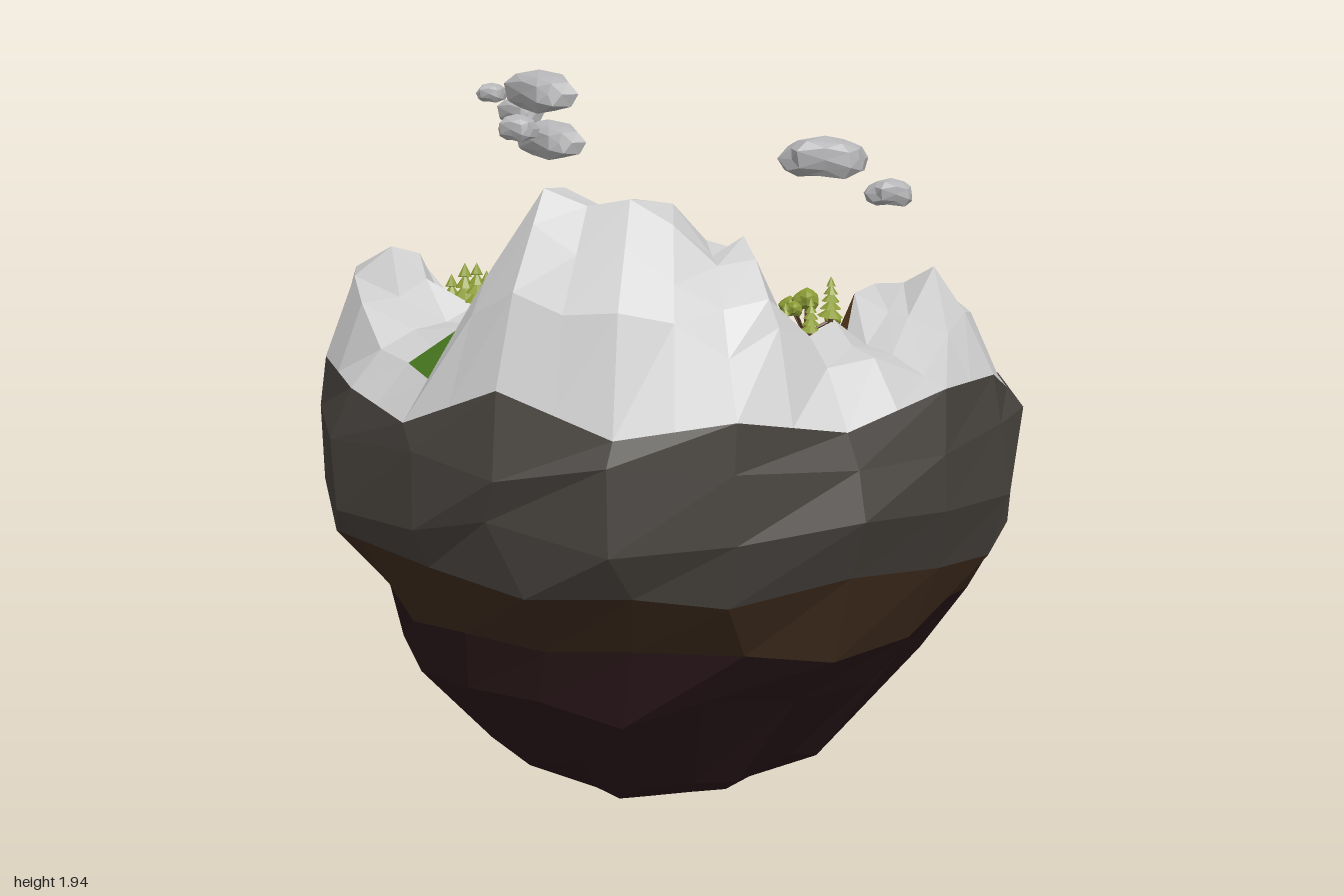
import * as THREE from 'three';

const SIDES = 40, RINGS = 11;
const mat = (color, side = THREE.FrontSide) => new THREE.MeshStandardMaterial({ color, side, flatShading: true });
const rockMat = mat(0x47423d), earthMat = mat(0x412d1f), coreMat = mat(0x2b181a), soilMat = mat(0x63401f);
const grassMat = mat(0x4a7a20), stoneMat = mat(0xcccccc), cloudMat = mat(0xb4b4b6);
const leafMat = mat(0x8c9c35), trunkMat = mat(0x5a3f28), waterMat = mat(0x76d8c5, THREE.DoubleSide);

const rnd = (i, j) => { const s = Math.sin(i * 127.1 + j * 311.7) * 43758.5453; return s - Math.floor(s) - 0.5; };
const clamp = THREE.MathUtils.clamp, mix = THREE.MathUtils.lerp;

// River banks from source to outlet: x and z of each bank
const banks = [[0.35, 0.4, 0.36, 0.36], [0.28, 0.36, 0.34, 0.22], [0.18, 0.3, 0.25, 0.13], [0, 0.29, 0.1, 0.13], [-0.2, 0.3, -0.1, 0.14],
  [-0.33, 0.27, -0.22, 0.1], [-0.48, 0.25, -0.23, 0.03], [-0.48, 0.02, -0.24, -0.1], [-0.38, -0.15, -0.18, -0.22],
  [-0.3, -0.34, -0.05, -0.33], [-0.13, -0.41, 0.03, -0.43], [-0.06, -0.53, 0.08, -0.5], [0, -0.65, 0.14, -0.63],
  [0.01, -0.77, 0.23, -0.74], [-0.02, -0.84, 0.27, -0.85]];
// Plan outlines, as [x, z]
const river = [...banks.map(b => [b[0], b[1]]), ...banks.map(b => [b[2], b[3]]).reverse()];
const pond = [[0.38, -0.42], [0.42, -0.42], [0.5, -0.2], [0.48, -0.15], [0.41, -0.16]];
const soil = [[-0.23, -0.1], [-0.05, -0.33], [0.08, -0.5], [0.2, -0.76], [0.3, -0.8], [0.45, -0.6], [0.6, -0.5], [0.65, -0.25],
  [0.6, -0.05], [0.5, 0.2], [0.55, 0.5], [0.36, 0.52], [0.36, 0.25], [0.2, 0.15], [-0.2, 0.13]];
const meadows = [
  [[0.25, -0.6], [0.27, -0.84], [0.62, -0.64], [0.4, -0.5], [0.25, -0.45], [0.36, -0.3], [0.4, -0.08], [0.52, 0.06], [0.3, 0.08],
    [0.1, 0], [-0.1, 0.02], [0, -0.25], [0.15, -0.4]],
  [[-0.57, -0.48], [-0.3, -0.52], [-0.3, -0.38], [-0.4, -0.25], [-0.66, -0.24]],
  [[-0.62, 0.62], [-0.48, 0.52], [-0.48, 0.7]]];

function inside(x, z, poly) {
  let hit = false;
  poly.forEach(([ax, az], i) => {
    const [bx, bz] = poly[(i + 1) % poly.length];
    if ((az > z) !== (bz > z) && x < ax + (bx - ax) * (z - az) / (bz - az)) hit = !hit;
  });
  return hit;
}

function distance(x, z, poly) {
  if (inside(x, z, poly)) return 0;
  return Math.min(...poly.map(([ax, az], i) => {
    const [bx, bz] = poly[(i + 1) % poly.length], dx = bx - ax, dz = bz - az;
    const t = clamp(((x - ax) * dx + (z - az) * dz) / (dx * dx + dz * dz), 0, 1);
    return Math.hypot(x - ax - dx * t, z - az - dz * t);
  }));
}

// Peaks: x, z, top, then reach inward, sideways and outward
const peaks = [[-0.17, 0.69, 1.69, 0.7, 0.32, 0.29], [-0.05, 0.69, 1.69, 0.7, 0.3, 0.3], [0.1, 0.65, 1.65, 0.5, 0.25, 0.31],
  [0.25, 0.58, 1.57, 0.3, 0.15, 0.37], [0.02, 0.42, 1.56, 0.15, 0.3, 0.5],
  [-0.72, 0.24, 1.5, 0.28, 0.36, 0.25], [-0.6, 0.3, 1.48, 0.2, 0.25, 0.3], [-0.46, 0.44, 1.36, 0.2, 0.28, 0.4],
  [0.68, 0.27, 1.47, 0.25, 0.32, 0.27], [0.56, 0.28, 1.44, 0.18, 0.25, 0.3], [0.45, 0.56, 1.36, 0.2, 0.27, 0.32]];

// Gentle base slope, falling to the back and, behind the peaks, to one side
const ground = (x, z) => 1.175 + 0.03 * z - 0.2 * Math.max(0, -z - 0.3) - 0.05 * x * clamp((0.3 - z) / 0.4, 0, 1);
const waterLevel = (x, z) => ground(x, z) - 0.02 - 0.5 * Math.max(0, -z - 0.68);

// Sinks a height to the water bed near the river and the pond
function carve(x, y, z) {
  const d = Math.min(distance(x, z, river), distance(x, z, pond));
  return mix(waterLevel(x, z) - 0.03, y, clamp((d - 0.055) / 0.035, 0, 1));
}

function height(x, z) {
  const base = ground(x, z);
  let y = base;
  for (const [px, pz, top, rin, side, out] of peaks) {
    const l = Math.hypot(px, pz), dx = x - px, dz = z - pz;
    const u = (dx * px + dz * pz) / l, v = (dx * pz - dz * px) / l;
    y = Math.max(y, base + (top - base) * clamp(1.12 - Math.hypot(u / (u > 0 ? out : rin), v / side), 0, 1.04));
  }
  return carve(x, y, z);
}

function add(group, name, geometry, material) {
  const mesh = new THREE.Mesh(geometry, material);
  mesh.name = name;
  group.add(mesh);
  return mesh;
}

// Collects triangles by material and turns each set into one mesh
function faceSet() {
  const sets = new Map();
  const tri = (m, a, b, c) => {
    const area = new THREE.Vector3().subVectors(b, a).cross(new THREE.Vector3().subVectors(c, a)).length();
    if (area < 1e-7) return;
    if (!sets.has(m)) sets.set(m, []);
    for (const p of [a, b, c]) sets.get(m).push(p.x, p.y, p.z);
  };
  const quad = (m, a, b, c, d) => { tri(m, a, b, c); tri(m, a, c, d); };
  const build = (group, names) => sets.forEach((list, m) => {
    const g = new THREE.BufferGeometry();
    g.setAttribute('position', new THREE.Float32BufferAttribute(list, 3));
    g.computeVertexNormals();
    add(group, names.get(m), g, m);
  });
  return { quad, build };
}

// Rim shared by the terrain and the underside; odd points lie midway between even ones
function rim(i) {
  if (i % 2) return rim(i - 1).add(rim((i + 1) % SIDES)).multiplyScalar(0.5);
  const a = i / SIDES * Math.PI * 2, r = 0.9 * (1 + rnd(i, 50) * 0.04);
  const x = Math.cos(a) * r, z = 0.07 + Math.sin(a) * r;
  return new THREE.Vector3(x, carve(x, ground(x, z) + rnd(i, 51) * (z > 0 ? 0.13 : 0.02), z), z);
}

// Inner rings use fewer points, so facets stay of similar size
function terrainPoint(k, i) {
  i %= SIDES;
  i -= i % (k < 3 ? 4 : k < 6 ? 2 : 1);
  const edge = rim(i);
  if (k === RINGS) return edge;
  const t = (k + (k ? rnd(i, k) * 0.45 : 0)) / RINGS;
  const x = edge.x * t, z = mix(0.05, edge.z, t);
  const y = height(x, z), lift = y - ground(x, z);
  return new THREE.Vector3(x, y + rnd(i + 7, k) * (lift > 0.05 ? 0.05 : lift < 0 ? 0 : 0.015), z);
}

function terrainMaterial(points) {
  const c = new THREE.Vector3();
  points.forEach(p => c.addScaledVector(p, 1 / points.length));
  const r = Math.hypot(c.x, c.z), lift = c.y - ground(c.x, c.z);
  if (meadows.some(p => inside(c.x, c.z, p))) return grassMat;
  if (lift > (r < 0.6 ? 0.13 : 0.05) || (c.z > 0.05 && r > 0.72)) return stoneMat;
  return inside(c.x, c.z, soil) ? soilMat : rockMat;
}

function makeTerrain(group) {
  const { quad, build } = faceSet();
  for (let k = 0; k < RINGS; k++) for (let i = 0; i < SIDES; i++) {
    const q = [terrainPoint(k, i), terrainPoint(k, i + 1), terrainPoint(k + 1, i + 1), terrainPoint(k + 1, i)];
    quad(terrainMaterial(q), ...q);
  }
  build(group, new Map([[stoneMat, 'mountains'], [grassMat, 'grass'], [soilMat, 'soil'], [rockMat, 'plateauRock']]));
}

// Underside rings: y, centre x, radius x, centre z, radius z
const layers = [[1.08, 0, 0.925, 0.075, 0.92], [0.91, 0, 0.925, 0.08, 0.915], [0.78, 0.01, 0.89, 0.055, 0.895],
  [0.59, 0.02, 0.785, 0.03, 0.8], [0.43, -0.03, 0.7, 0.07, 0.69], [0.18, -0.04, 0.48, 0.07, 0.46],
  [0.07, 0, 0.3, 0.06, 0.28], [0.02, 0, 0.11, 0.06, 0.11], [0.015, 0, 0, 0.06, 0]];

function makeUnderside(group) {
  const { quad, build } = faceSet();
  const count = SIDES / 2;
  const at = (k, i) => {
    i %= count;
    if (k < 0) return rim(i * 2);
    const [y, cx, rx, cz, rz] = layers[k], a = (i + rnd(i, k + 30) * 0.35) / count * Math.PI * 2;
    const r = 1 + rnd(i, k + 20) * 0.035, low = rim(i * 2).y - 0.06 * (k + 1);
    const up = rx > 0.2 ? rnd(i, k + 40) * 0.07 : 0;
    return new THREE.Vector3(cx + Math.cos(a) * rx * r, Math.min(y + up, low), cz + Math.sin(a) * rz * r);
  };
  for (let k = -1; k < layers.length - 1; k++) for (let i = 0; i < count; i++)
    quad(k < 2 ? rockMat : k < 3 ? earthMat : coreMat, at(k, i), at(k, i + 1), at(k + 1, i + 1), at(k + 1, i));
  build(group, new Map([[rockMat, 'upperRockBand'], [earthMat, 'earthBand'], [coreMat, 'lowerCore']]));
}

// Falling sheet: y, then x and z of both edges
const fall = [[0.85, -0.02, -0.87, 0.29, -0.9], [0.78, 0, -0.87, 0.29, -0.91], [0.65, 0, -0.87, 0.26, -0.95],
  [0.5, -0.01, -0.845, 0.23, -0.98], [0.35, -0.02, -0.86, 0.21, -1], [0.15, -0.02, -0.855, 0.2, -0.98], [0, 0.03, -0.85, 0.1, -0.92]];

function makeWater(group) {
  const strip = (name, rows) => {
    const { quad, build } = faceSet();
    for (let i = 0; i < rows.length - 1; i++) quad(waterMat, rows[i][0], rows[i][1], rows[i + 1][1], rows[i + 1][0]);
    build(group, new Map([[waterMat, name]]));
  };
  const onTop = (x, z) => new THREE.Vector3(x, waterLevel(x, z), z);
  const riverRows = banks.map(([ax, az, bx, bz]) => [onTop(ax, az), onTop(bx, bz)]);
  strip('river', riverRows);
  strip('waterfall', [riverRows.at(-1), ...fall.map(([y, ax, az, bx, bz]) => [new THREE.Vector3(ax, y, az), new THREE.Vector3(bx, y, bz)])]);
  const p = pond.map(([x, z]) => onTop(x, z));
  strip('pond', [[p[0], p[1]], [p[4], p[2]], [p[4], p[3]]]);
}

// Uneven faceted lump; a smaller power makes it boxier
function lump(rough, power) {
  const g = new THREE.IcosahedronGeometry(1, 1), p = g.attributes.position, v = new THREE.Vector3();
  const swell = t => Math.sign(t) * Math.abs(t) ** power;
  for (let i = 0; i < p.count; i++) {
    v.fromBufferAttribute(p, i);
    const s = 1 + rough * rnd(Math.round(v.x * 50) + Math.round(v.y * 50) * 3, Math.round(v.z * 50));
    p.setXYZ(i, swell(v.x) * s, swell(v.y) * s, swell(v.z) * s);
  }
  g.computeVertexNormals();
  return g;
}

function conifer(x, z, s) {
  const tree = new THREE.Group();
  tree.name = 'conifer';
  add(tree, 'trunk', new THREE.CylinderGeometry(0.008, 0.01, 0.05, 5), trunkMat).position.y = 0.015;
  for (let i = 0; i < 5; i++) {
    const tier = add(tree, 'needles', new THREE.ConeGeometry(0.046 - i * 0.007, 0.035, 8), leafMat);
    tier.position.y = 0.05 + i * 0.026;
    tier.rotation.set(0.3 * rnd(i, 3), i * 0.5, 0.3 * rnd(i, 4));
  }
  tree.position.set(x, height(x, z) - 0.005, z);
  tree.scale.setScalar(s);
  return tree;
}

function broadleaf(x, z, s, turn) {
  const tree = new THREE.Group();
  tree.name = 'broadleafTree';
  const puffs = [[0.02, 0.17, 0, 0.04], [-0.04, 0.15, 0.03, 0.028], [0.1, 0.11, 0.02, 0.025], [-0.01, 0.15, -0.05, 0.03]];
  for (const [px, py, pz, r] of puffs) {
    const path = new THREE.CatmullRomCurve3([new THREE.Vector3(0, -0.01, 0), new THREE.Vector3(0.012, 0.06, 0), new THREE.Vector3(px, py, pz)]);
    add(tree, 'branch', new THREE.TubeGeometry(path, 4, 0.005, 5), trunkMat);
    const leaves = add(tree, 'leaves', lump(0.3, 1), leafMat);
    leaves.position.set(px, py, pz);
    leaves.scale.set(r, r * 0.8, r);
  }
  tree.position.set(x, height(x, z), z);
  tree.rotation.y = turn;
  tree.scale.setScalar(s);
  return tree;
}

export function createModel() {
  const island = new THREE.Group();
  island.name = 'floatingIsland';
  makeTerrain(island);
  makeUnderside(island);
  makeWater(island);

  for (const [x, z, s] of [[-0.65, -0.17, 1], [-0.56, -0.12, 0.8], [-0.58, -0.04, 1.1], [0.7, -0.16, 1.05], [0.7, -0.09, 0.95],
    [-0.45, 0.37, 0.9], [-0.42, 0.39, 0.8], [0.35, 0.53, 0.5], [0.41, 0.51, 0.6], [0.46, 0.54, 0.7], [0.2, -0.26, 0.9]])
    island.add(conifer(x, z, s));
  for (const t of [[-0.27, -0.58, 1.1, 2.8], [0.29, -0.61, 1, 0.6], [-0.1, -0.08, 0.7, 1.5]]) island.add(broadleaf(...t));

  // Clouds: position, half sizes, turn
  for (const [x, y, z, sx, sy, sz, turn] of [[-0.36, 1.88, -0.01, 0.12, 0.053, 0.065, -0.8], [-0.52, 1.87, -0.14, 0.04, 0.025, 0.035, 0],
    [-0.45, 1.775, -0.14, 0.055, 0.035, 0.04, -0.3], [-0.61, 1.77, -0.91, 0.08, 0.04, 0.045, -0.6], [-0.49, 1.695, -0.77, 0.13, 0.055, 0.065, -0.75],
    [0.4, 1.715, -0.01, 0.115, 0.052, 0.06, 0.1], [0.57, 1.62, -0.08, 0.065, 0.035, 0.045, 0.4]]) {
    const cloud = add(island, 'cloud', lump(0.3, 0.8), cloudMat);
    cloud.position.set(x, y, z);
    cloud.scale.set(sx, sy, sz);
    cloud.rotation.y = turn;
  }
  return island;
}
